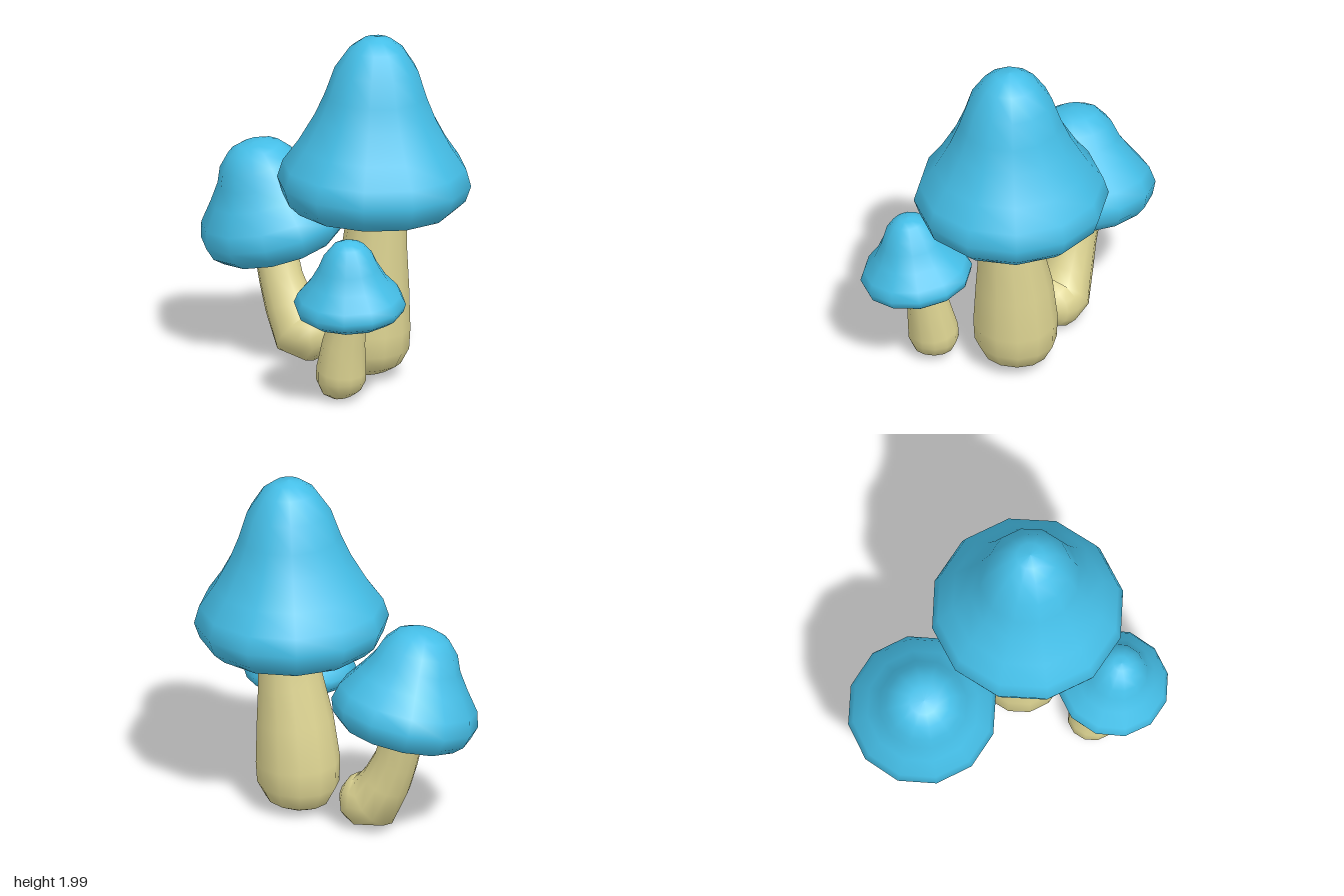
import * as THREE from 'three';

const SIDES = 12;
const capMaterial = new THREE.MeshStandardMaterial({ color: 0x45bfe8, side: THREE.DoubleSide });
const stemMaterial = new THREE.MeshStandardMaterial({ color: 0xddd492, side: THREE.DoubleSide });

// Cap: lathed profile [radius, height above the widest ring], tilted about its rim centre
function makeCap(profile, position, tiltX, tiltZ) {
  const points = profile.map(([r, y]) => new THREE.Vector2(r, y));
  const cap = new THREE.Mesh(new THREE.LatheGeometry(points, SIDES), capMaterial);
  cap.name = 'cap';
  cap.position.set(...position);
  cap.rotation.set(tiltX, 0, tiltZ);
  return cap;
}

// Stem: round rings [x, y, z, radius], each square to the direction of the path
function makeStem(rings) {
  const centres = rings.map(([x, y, z]) => new THREE.Vector3(x, y, z));
  const up = new THREE.Vector3(0, 1, 0);
  const positions = [], index = [];
  rings.forEach((ring, i) => {
    const before = centres[Math.max(i - 1, 0)];
    const after = centres[Math.min(i + 1, rings.length - 1)];
    const turn = new THREE.Quaternion().setFromUnitVectors(up, after.clone().sub(before).normalize());
    for (let k = 0; k < SIDES; k++) {
      const a = (k / SIDES) * Math.PI * 2;
      const p = new THREE.Vector3(Math.sin(a), 0, Math.cos(a)).multiplyScalar(ring[3]);
      positions.push(...p.applyQuaternion(turn).add(centres[i]).toArray());
      if (i === 0) continue;
      const low = (i - 1) * SIDES, next = (k + 1) % SIDES;
      index.push(low + k, low + next, low + SIDES + k);
      index.push(low + next, low + SIDES + next, low + SIDES + k);
    }
  });
  const geometry = new THREE.BufferGeometry();
  geometry.setAttribute('position', new THREE.Float32BufferAttribute(positions, 3));
  geometry.setIndex(index);
  geometry.computeVertexNormals();
  const stem = new THREE.Mesh(geometry, stemMaterial);
  stem.name = 'stem';
  return stem;
}

function makeMushroom(name, cap, stem) {
  const group = new THREE.Group();
  group.name = name;
  group.add(cap, stem);
  return group;
}

export function createModel() {
  const model = new THREE.Group();
  model.name = 'mushroomCluster';

  // Tall mushroom at the back
  model.add(makeMushroom('tallMushroom',
    makeCap([
      [0, -0.05], [0.16, -0.06], [0.3, -0.1], [0.38, -0.14], [0.45, -0.15], [0.515, -0.09],
      [0.545, 0], [0.515, 0.1], [0.43, 0.22], [0.34, 0.38], [0.285, 0.51],
      [0.235, 0.66], [0.155, 0.78], [0.08, 0.835], [0, 0.85],
    ], [0.305, 1.15, -0.13], 0, -0.025),
    makeStem([
      [0.27, 0.03, -0.135, 0], [0.27, 0.035, -0.135, 0.1], [0.265, 0.075, -0.135, 0.18],
      [0.26, 0.17, -0.135, 0.23], [0.262, 0.3, -0.135, 0.236], [0.28, 0.55, -0.135, 0.215],
      [0.31, 0.78, -0.13, 0.182], [0.328, 1, -0.13, 0.165], [0.33, 1.13, -0.13, 0.16],
    ])));

  // Medium mushroom, leaning away with a bent foot
  model.add(makeMushroom('leaningMushroom',
    makeCap([
      [0, -0.04], [0.12, -0.05], [0.22, -0.09], [0.28, -0.12], [0.34, -0.125], [0.395, -0.075],
      [0.42, 0], [0.395, 0.09], [0.315, 0.2], [0.25, 0.3], [0.215, 0.39],
      [0.15, 0.465], [0.08, 0.495], [0, 0.5],
    ], [-0.435, 0.755, -0.19], 0.2, 0.15),
    makeStem([
      [-0.035, 0.17, -0.17, 0], [-0.045, 0.17, -0.17, 0.06], [-0.08, 0.17, -0.17, 0.12],
      [-0.14, 0.165, -0.17, 0.155], [-0.24, 0.175, -0.17, 0.165], [-0.315, 0.31, -0.175, 0.14],
      [-0.375, 0.45, -0.18, 0.125], [-0.42, 0.6, -0.19, 0.12], [-0.44, 0.7, -0.2, 0.115],
    ])));

  // Small mushroom in front
  model.add(makeMushroom('smallMushroom',
    makeCap([
      [0, -0.02], [0.1, -0.025], [0.16, -0.05], [0.2, -0.075], [0.25, -0.08], [0.3, -0.045],
      [0.315, 0], [0.29, 0.055], [0.22, 0.135], [0.17, 0.22], [0.14, 0.29],
      [0.09, 0.35], [0.045, 0.37], [0, 0.375],
    ], [0.5, 0.6, 0.365], 0.12, -0.06),
    makeStem([
      [0.405, 0.02, 0.305, 0], [0.405, 0.023, 0.305, 0.055], [0.4, 0.055, 0.308, 0.11],
      [0.397, 0.12, 0.308, 0.14], [0.4, 0.18, 0.31, 0.14], [0.43, 0.35, 0.325, 0.12],
      [0.468, 0.5, 0.338, 0.1], [0.48, 0.6, 0.345, 0.095],
    ])));

  return model;
}
